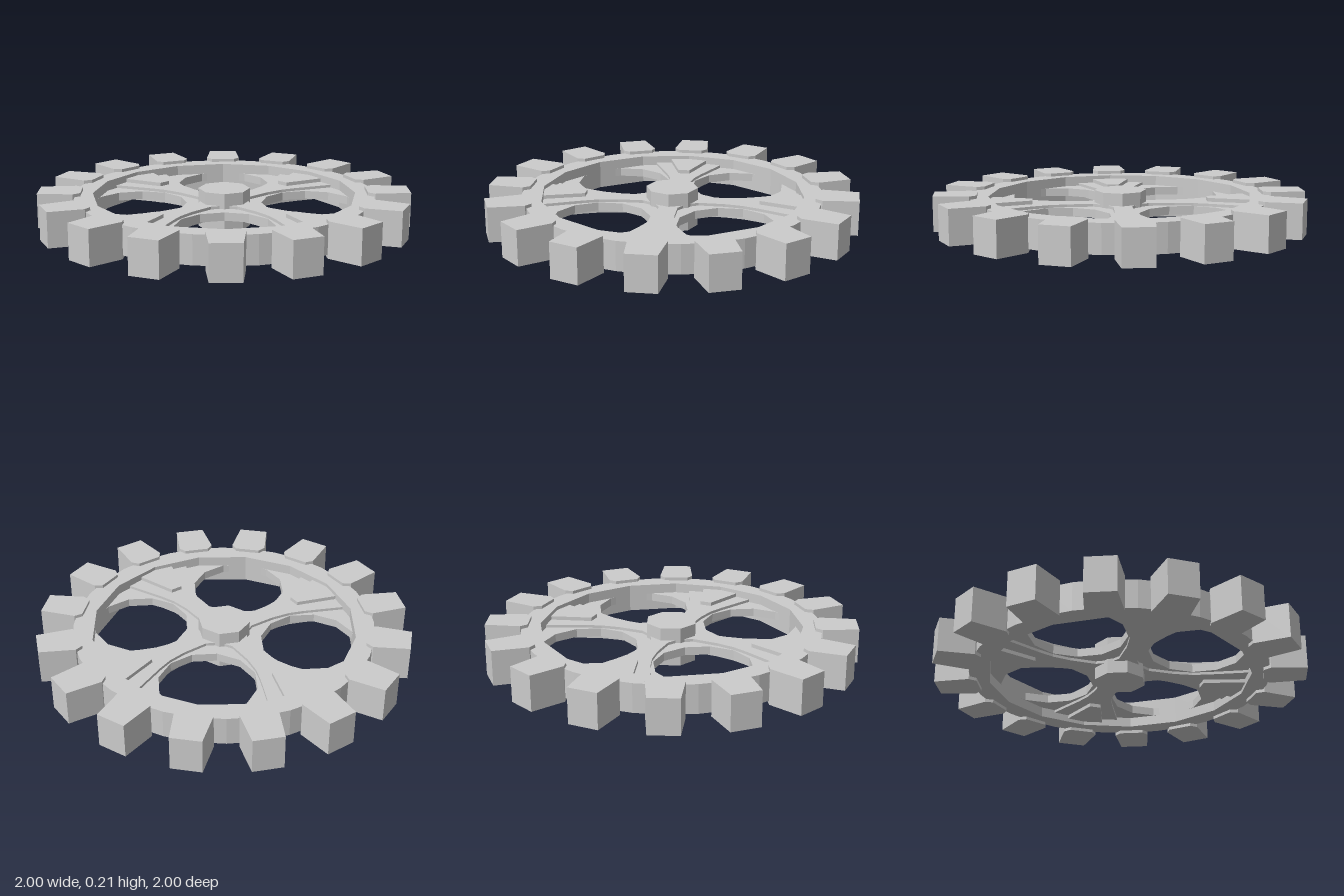
import * as THREE from 'three';

const MID = 0.105; // mid height of the wheel

const material = new THREE.MeshStandardMaterial({ color: 0xcccccc, flatShading: true });

// Regular polygon as a list of points
function polygon(sides, radius, cx = 0, cy = 0, offset = 0) {
  return Array.from({ length: sides }, (_, i) => {
    const a = offset + (i / sides) * Math.PI * 2;
    return new THREE.Vector2(cx + Math.cos(a) * radius, cy + Math.sin(a) * radius);
  });
}

// Half outline [halfWidth, radius] mirrored into a closed radial shape
function mirrored(half) {
  const right = half.map(([w, r]) => new THREE.Vector2(w, r));
  const left = half.map(([w, r]) => new THREE.Vector2(-w, r)).reverse();
  return [...right, ...left];
}

// Lay a flat outline down and extrude it evenly about the mid height
function slab(name, outline, height, holes = []) {
  const shape = new THREE.Shape(outline);
  shape.holes = holes.map((h) => new THREE.Path(h));
  const geo = new THREE.ExtrudeGeometry(shape, { depth: height, bevelEnabled: false });
  geo.translate(0, 0, -height / 2);
  geo.rotateX(-Math.PI / 2);
  geo.translate(0, MID, 0);
  const mesh = new THREE.Mesh(geo, material);
  mesh.name = name;
  return mesh;
}

export function createModel() {
  const wheel = new THREE.Group();
  wheel.name = 'gearWheel';

  // Outer rim: many-sided outside, coarser inside
  wheel.add(slab('rim', polygon(32, 0.81), 0.155, [polygon(16, 0.71)]));

  // Thin web with four round openings
  const openings = [0, 1, 2, 3].map((i) => {
    const a = Math.PI / 4 + (i * Math.PI) / 2;
    const c = 0.325 * Math.SQRT2;
    return polygon(12, 0.257, Math.cos(a) * c, Math.sin(a) * c, Math.PI / 12);
  });
  wheel.add(slab('web', polygon(32, 0.76), 0.045, openings));

  // Flared spokes, each with a raised tapered pad at the rim end
  const spoke = mirrored([[0.09, 0.08], [0.05, 0.15], [0.053, 0.29], [0.07, 0.39],
    [0.10, 0.47], [0.20, 0.69], [0.20, 0.72]]);
  const pad = mirrored([[0.032, 0.475], [0.108, 0.70], [0.108, 0.72]]);
  for (let i = 0; i < 4; i++) {
    const arm = new THREE.Group();
    arm.name = 'spoke';
    arm.add(slab('spokeRib', spoke, 0.075), slab('spokePad', pad, 0.115));
    arm.rotation.y = (i * Math.PI) / 2;
    wheel.add(arm);
  }

  // Central hub
  wheel.add(slab('hub', polygon(8, 0.14), 0.21));

  // Sixteen teeth, chamfered where they overlap the rim
  const tooth = mirrored([[0.068, 0.77], [0.097, 0.807], [0.08, 1]]);
  for (let i = 0; i < 16; i++) {
    const mesh = slab('tooth', tooth, 0.19);
    mesh.rotation.y = (i * Math.PI) / 8;
    wheel.add(mesh);
  }
  return wheel;
}
